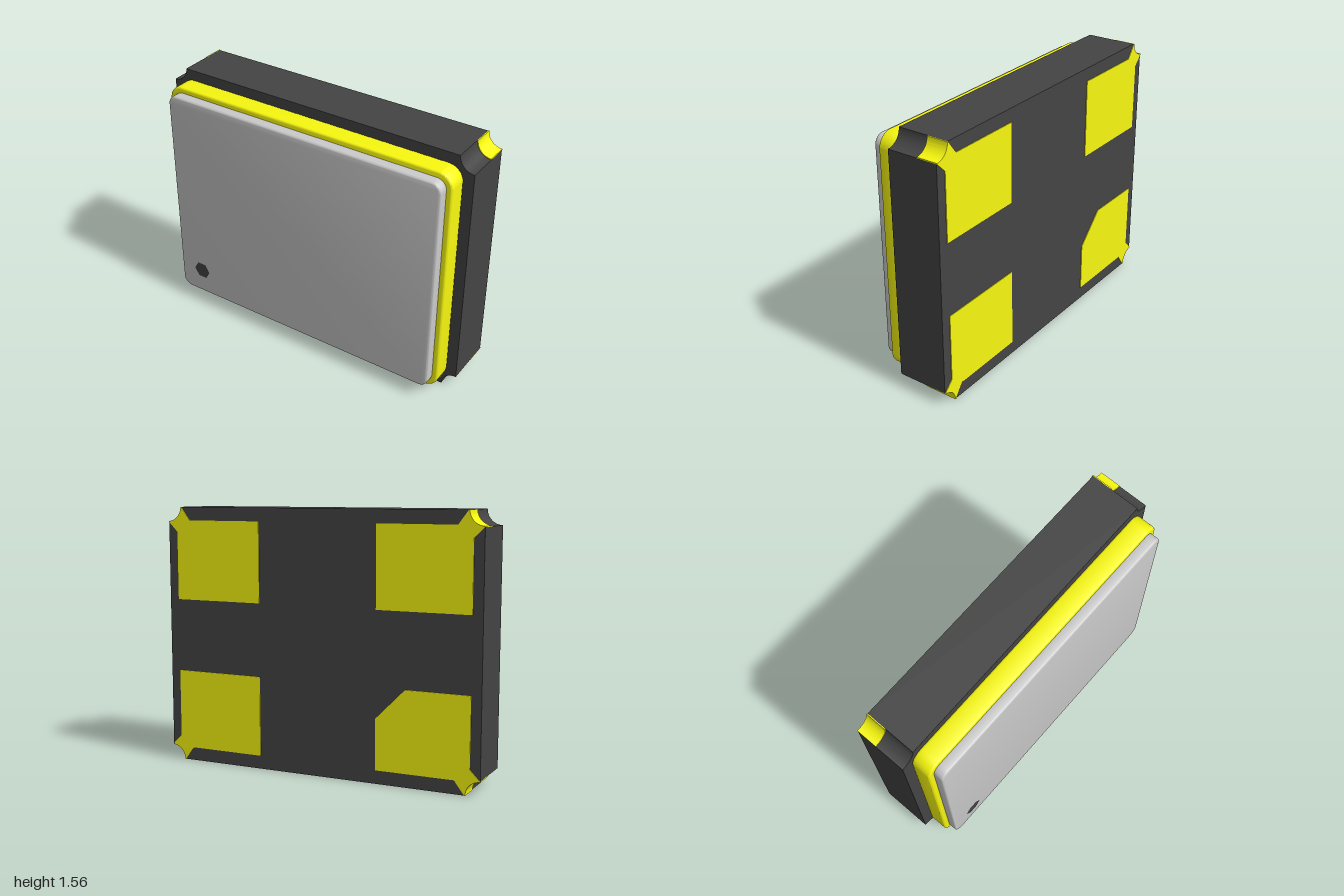
import * as THREE from 'three';
import { toCreasedNormals } from 'three/addons/utils/BufferGeometryUtils.js';

const W = 1, H = 0.78;      // half width and half height of the body
const NOTCH = 0.09;         // radius of the corner notches
const BACK = -0.25, BODY_BACK = -0.246, BODY_FRONT = 0.068;

const material = (color) => new THREE.MeshStandardMaterial({ color });

// Extrude a shape from z0 to z1, with an optional rounded rim at the front and back
function slab(name, shape, z0, z1, mat, bevel = 0) {
  const raw = new THREE.ExtrudeGeometry(shape, {
    depth: z1 - z0 - 2 * bevel, curveSegments: 10, bevelEnabled: bevel > 0,
    bevelSize: bevel, bevelThickness: bevel, bevelOffset: -bevel, bevelSegments: 3,
  });
  const mesh = new THREE.Mesh(toCreasedNormals(raw, 0.6), mat);
  mesh.name = name;
  mesh.position.z = z0 + bevel;
  return mesh;
}

function roundedRect(w, h, r) {
  const s = new THREE.Shape();
  s.absarc(w - r, h - r, r, 0, Math.PI / 2);
  s.absarc(-w + r, h - r, r, Math.PI / 2, Math.PI);
  s.absarc(-w + r, -h + r, r, Math.PI, Math.PI * 1.5);
  s.absarc(w - r, -h + r, r, Math.PI * 1.5, Math.PI * 2);
  s.closePath();
  return s;
}

// Rectangle with a concave quarter circle cut from each corner
function notchedRect() {
  const s = new THREE.Shape();
  [[1, 1], [-1, 1], [-1, -1], [1, -1]].forEach(([sx, sy], i) => {
    const a = Math.PI * 1.5 + i * Math.PI / 2;
    s.absarc(sx * W, sy * H, NOTCH, a, a - Math.PI / 2, true);
  });
  s.closePath();
  return s;
}

// Contact pad with a diagonal neck running to the corner notch
function padShape(sx, sy, chamfer) {
  const inner = chamfer
    ? [[0.375, 0.22 + chamfer], [0.375 + chamfer, 0.22]]
    : [[0.375, 0.22]];
  const pts = [...inner, [0.94, 0.22], [0.94, H - 0.15], [W, H - NOTCH]];
  for (let i = 1; i <= 10; i++) {
    const a = Math.PI * 1.5 - (i / 10) * Math.PI / 2;
    pts.push([W + NOTCH * Math.cos(a), H + NOTCH * Math.sin(a)]);
  }
  pts.push([0.85, H - 0.08], [0.375, H - 0.08]);
  return new THREE.Shape(pts.map(([x, y]) => new THREE.Vector2(sx * x, sy * y)));
}

// Thin quarter-ring plating that lines a notch
function liningShape(sx, sy) {
  const start = Math.atan2(-sy, -sx) - Math.PI / 4;
  const s = new THREE.Shape();
  s.absarc(sx * W, sy * H, NOTCH + 0.001, start, start + Math.PI / 2);
  s.absarc(sx * W, sy * H, NOTCH - 0.005, start + Math.PI / 2, start, true);
  s.closePath();
  return s;
}

export function createModel() {
  const model = new THREE.Group();
  model.name = 'surfaceMountPackage';
  const dark = material(0x444444);
  const gold = material(0xf8f810);
  const grey = material(0xcccccc);

  // Body, raised seal ring and lid
  model.add(slab('body', notchedRect(), BODY_BACK, BODY_FRONT, dark));
  model.add(slab('sealRing', roundedRect(0.94, 0.722, 0.09), BODY_FRONT, 0.19, gold, 0.012));
  model.add(slab('lid', roundedRect(0.905, 0.688, 0.06), 0.178, 0.25, grey, 0.012));

  // Hexagonal orientation mark on the lid
  const mark = new THREE.Mesh(new THREE.CircleGeometry(0.058, 6), dark);
  mark.name = 'orientationMark';
  mark.position.set(-0.742, 0.26 - H, 0.252);
  model.add(mark);

  // Corner plating and back pads; one pad is chamfered
  for (const sx of [1, -1]) {
    for (const sy of [1, -1]) {
      const chamfer = sx < 0 && sy < 0 ? 0.18 : 0;
      model.add(slab('contactPad', padShape(sx, sy, chamfer), BACK, BODY_BACK + 0.001, gold));
      model.add(slab('cornerPlating', liningShape(sx, sy), BACK, -0.12, gold));
    }
  }

  model.children.forEach((part) => { part.position.y += H; });
  return model;
}
